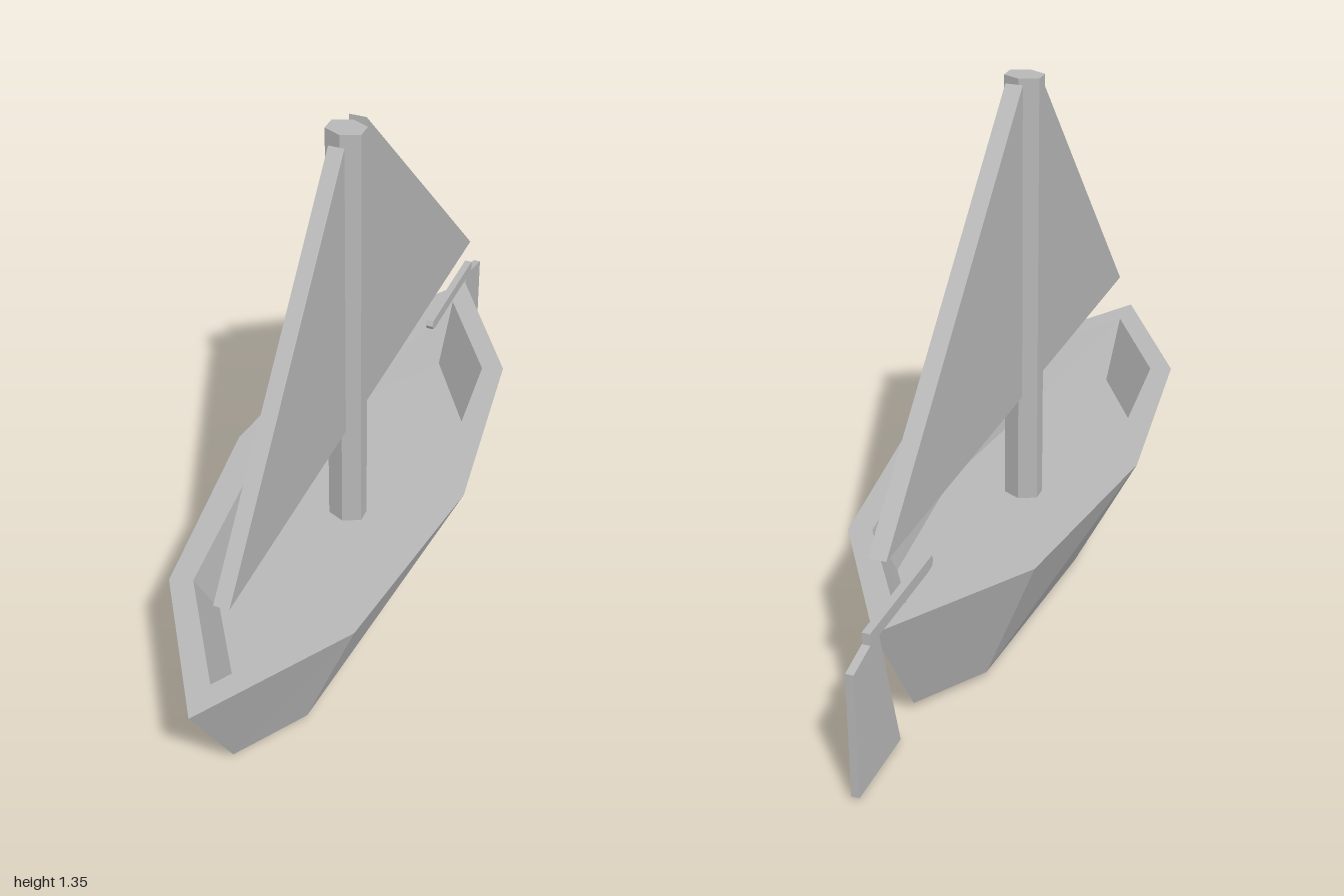
import * as THREE from 'three';

export function createModel() {
  const model = new THREE.Group();
  const grey = new THREE.MeshStandardMaterial({ color: 0xb8b8b8, flatShading: true });
  grey.name = 'plain grey';

  const add = (name, geometry) => {
    const mesh = new THREE.Mesh(geometry, grey);
    mesh.name = name;
    model.add(mesh);
  };

  // Closed eight-point ring from bow to stern, mirrored across x
  const ring = (y, half) => {
    const side = half.map(([x, z]) => [x, y, z]);
    const mirrored = side.slice(1, -1).reverse().map(([x, , z]) => [-x, y, z]);
    return [...side, ...mirrored];
  };
  const point = (y, z) => Array(8).fill([0, y, z]);

  // Hull: one skin from the keel, up the outside, over the rim, down to the deck
  const rings = [
    point(0, 0.06),
    ring(0.022, [[0, 0.8], [0.115, 0.62], [0.15, 0.06], [0.115, -0.485], [0, -0.66]]),
    ring(0.35, [[0, 1], [0.24, 0.62], [0.315, 0.06], [0.24, -0.49], [0, -0.86]]),
    ring(0.35, [[0, 0.89], [0.185, 0.6], [0.24, 0.06], [0.185, -0.47], [0, -0.75]]),
    ring(0.2, [[0, 0.77], [0.155, 0.53], [0.205, 0.06], [0.155, -0.4], [0, -0.64]]),
    point(0.2, 0.06),
  ];
  const positions = [];
  for (let r = 0; r < rings.length - 1; r++) {
    for (let i = 0; i < 8; i++) {
      const j = (i + 1) % 8;
      const [a, b, c, d] = [rings[r][i], rings[r][j], rings[r + 1][j], rings[r + 1][i]];
      if (r > 0) positions.push(...a, ...b, ...c);
      if (r < rings.length - 2) positions.push(...a, ...c, ...d);
    }
  }
  const hull = new THREE.BufferGeometry();
  hull.setAttribute('position', new THREE.Float32BufferAttribute(positions, 3));
  hull.computeVertexNormals();
  add('hull', hull);

  // Mast: six-sided post standing on the deck
  const mast = new THREE.CylinderGeometry(1, 1, 1.15, 6);
  mast.scale(0.052, 1, 0.04).translate(0, 0.775, 0.07);
  add('mast', mast);

  // Flat plate from a (z, y) outline, spanning x0 to x1
  const plate = (outline, x0, x1) => {
    const shape = new THREE.Shape(outline.map(([z, y]) => new THREE.Vector2(-z, y)));
    return new THREE.ExtrudeGeometry(shape, { depth: x1 - x0, bevelEnabled: false })
      .rotateY(Math.PI / 2).translate(x0, 0, 0);
  };

  // Sails
  add('foreSail', plate([[0.13, 0.52], [0.13, 1.33], [0.815, 0.52]], -0.02, 0.02));
  add('mainSail', plate([[0, 0.52], [-0.825, 0.52], [0, 1.345]], -0.022, 0.022));

  // Rudder blade with tiller handle
  add('rudder', plate([
    [-0.78, 0.01], [-1, 0.01], [-1, 0.34], [-0.915, 0.36], [-0.915, 0.39],
    [-0.58, 0.39], [-0.573, 0.375], [-0.58, 0.362], [-0.6, 0.358], [-0.87, 0.358],
  ], -0.02, 0));

  return model;
}
